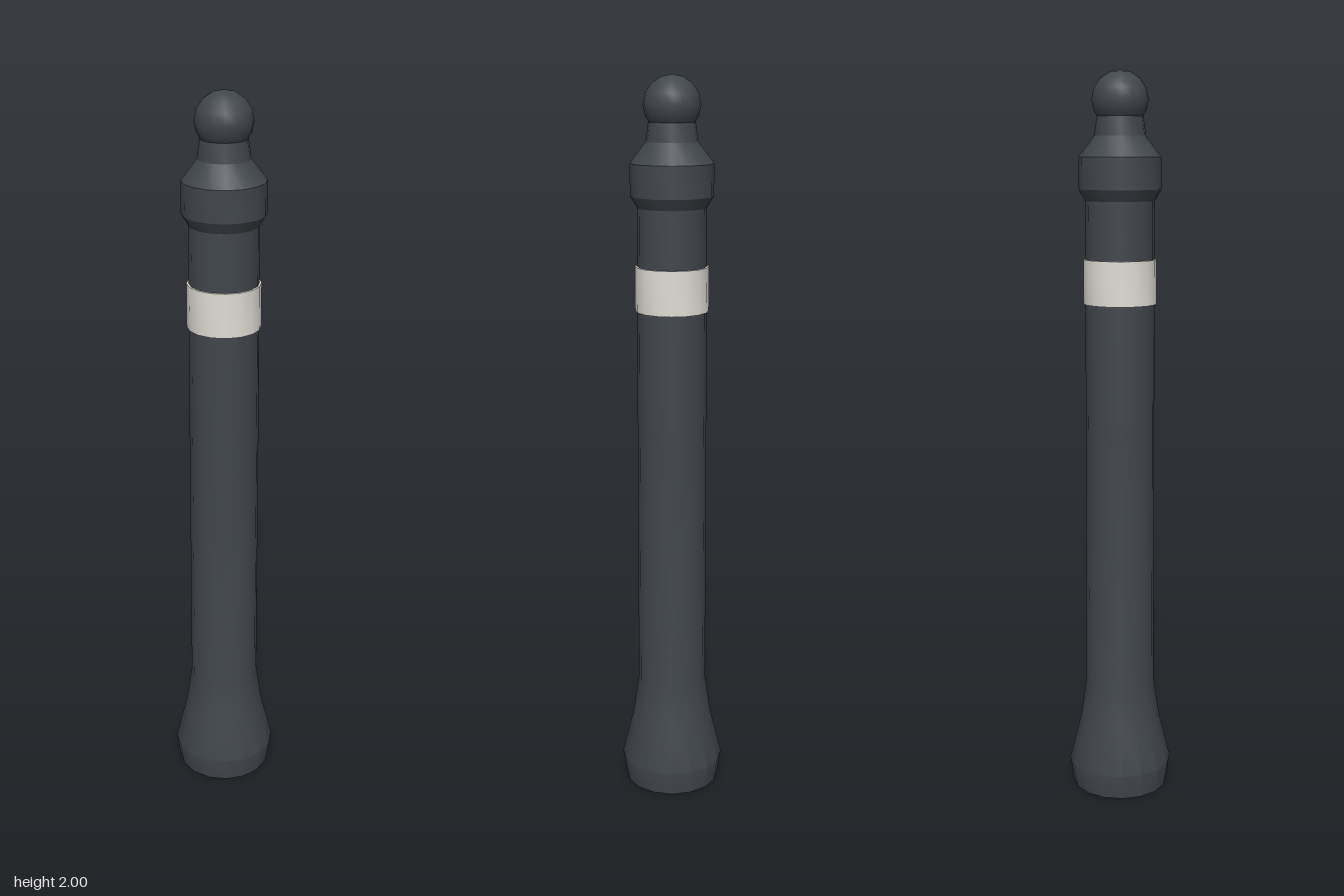
import * as THREE from 'three';
import { toCreasedNormals } from 'three/addons/utils/BufferGeometryUtils.js';

const SIDES = 16;

// Turned part from [radius, height] pairs, listed from bottom to top
function turned(name, profile, material) {
  const points = profile.map(([r, y]) => new THREE.Vector2(r, y));
  const geometry = toCreasedNormals(new THREE.LatheGeometry(points, SIDES), 0.45);
  const mesh = new THREE.Mesh(geometry, material);
  mesh.name = name;
  return mesh;
}

export function createModel() {
  const iron = new THREE.MeshStandardMaterial({ color: 0x41464c, side: THREE.DoubleSide });
  iron.name = 'dark iron';
  const white = new THREE.MeshStandardMaterial({ color: 0xe0dcd5, side: THREE.DoubleSide });
  white.name = 'off white';

  const group = new THREE.Group();
  group.name = 'bollard';

  // Hollow flared foot and slightly tapering shaft
  group.add(turned('post', [
    [0.133, 0], [0.144, 0.07], [0.112, 0.2], [0.096, 0.31],
    [0.0945, 1.07], [0.093, 1.66],
  ], iron));

  // Collar with chamfered edges, running up into the neck
  group.add(turned('collar', [
    [0.093, 1.66], [0.111, 1.69], [0.111, 1.775], [0.069, 1.83], [0.062, 1.88], [0.054, 1.881],
  ], iron));

  // Reflective band
  group.add(turned('band', [
    [0.092, 1.385], [0.099, 1.385], [0.099, 1.505], [0.092, 1.505],
  ], white));

  // Ball finial
  const finial = new THREE.Mesh(new THREE.SphereGeometry(0.076, SIDES, 8), iron);
  finial.name = 'finial';
  finial.position.y = 1.924;
  group.add(finial);

  return group;
}
